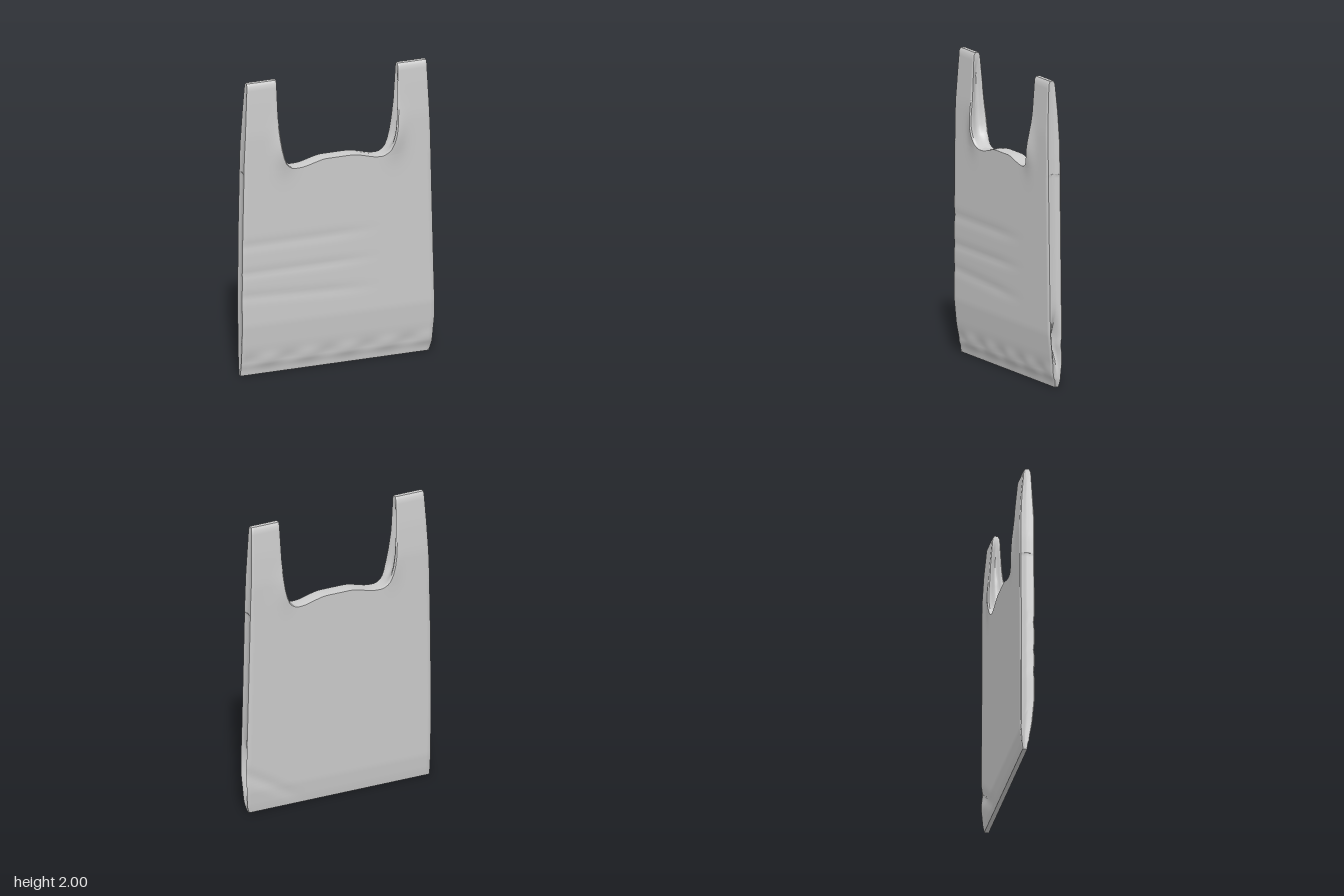
import * as THREE from 'three';
import { toCreasedNormals } from 'three/addons/utils/BufferGeometryUtils.js';

const { smoothstep, lerp } = THREE.MathUtils;
const bell = (v, centre, width) => Math.exp(-(((v - centre) / width) ** 2));

// Piecewise-linear lookup through [y, value] pairs
function profile(...points) {
  return (y) => {
    let i = 1;
    while (i < points.length - 1 && y > points[i][0]) i++;
    const [y0, v0] = points[i - 1], [y1, v1] = points[i];
    return lerp(v0, v1, Math.min(1, Math.max(0, (y - y0) / (y1 - y0))));
  };
}

// Outer edges, handle inner edges and sheet depths by height
const outerRight = profile([0, -0.663], [0.5, -0.67], [1, -0.665], [1.5, -0.655], [2, -0.63]);
const outerLeft = profile([0, 0.635], [0.04, 0.65], [0.25, 0.662], [0.6, 0.652], [1, 0.642], [1.5, 0.63], [2, 0.61]);
const innerEdge = profile([1.39, 0.29], [1.395, 0.312], [1.41, 0.337], [1.43, 0.355], [1.47, 0.373], [1.53, 0.389], [1.6, 0.4], [1.75, 0.413], [2, 0.42]);
const innerRight = (y) => -innerEdge(y) - 0.008;
const innerLeft = (y) => innerEdge(y) - 0.008;
const front = profile([0, -0.008], [0.05, 0], [0.065, 0.008], [0.2, 0.028], [0.35, 0.042], [1.65, 0.043], [1.85, 0.032], [1.98, 0.024], [2, 0.012]);
const back = profile([0, -0.038], [0.05, -0.045], [0.15, -0.054], [1.6, -0.056], [1.8, -0.045], [1.98, -0.028], [2, -0.016]);

// Puckers, wrinkles and hem folds pushed into the sheets
function sheetZ(x, y, isFront) {
  const pucker = bell(Math.abs(x), 0.38, 0.07) * bell(y, 1.53, 0.13);
  if (!isFront) {
    const fold = 0.008 * bell(y - 0.6 * x, -0.12, 0.04) * smoothstep(x, 0.2, 0.5);
    return back(y) - 0.01 * pucker + fold;
  }
  const fade = 1 - smoothstep(x, -0.1, 0.35);
  const wrinkles = bell(y, 0.9, 0.03) + bell(y, 0.71, 0.025) + bell(y + 0.05 * x, 0.52, 0.03);
  const hem = 0.006 * Math.sin(x * 23) * bell(y, 0.1, 0.04);
  return front(y) + 0.025 * pucker - 0.005 * wrinkles * fade + hem;
}

// Raised middle of the mouth
const mouthRise = (x, y) =>
  0.038 * (1 - smoothstep(Math.abs(x), 0.08, 0.28)) * smoothstep(y, 1.2, 1.39);

// One closed cross-section, running front, +x side, back, -x side
function ring(y, xMin, xMax, dents, across = 56, deep = 8) {
  const points = [];
  const r = 0.008;
  const sheet = (t, isFront) => {
    const x = lerp(xMin + r, xMax - r, t);
    points.push([x, y + mouthRise(x, y), sheetZ(x, y, isFront)]);
  };
  const side = (x, sign, fromFront, dent) => {
    const zf = sheetZ(x, y, true), zb = sheetZ(x, y, false);
    for (let i = 0; i <= deep; i++) {
      const t = lerp(0.08, 0.92, i / deep);
      const z = fromFront ? lerp(zf, zb, t) : lerp(zb, zf, t);
      const inset = dent * Math.sin(Math.PI * i / deep) ** 2;
      points.push([x - sign * inset, y + mouthRise(x, y), z]);
    }
  };
  for (let i = 0; i <= across; i++) sheet(i / across, true);
  side(xMax, 1, true, dents[1]);
  for (let i = across; i >= 0; i--) sheet(i / across, false);
  side(xMin, -1, false, dents[0]);
  return points;
}

// Collapse a ring to its middle line so that it closes an end
function closed(points, rise) {
  const z = points.reduce((sum, p) => sum + p[2], 0) / points.length;
  return points.map((p) => [p[0], p[1] + rise, z]);
}

function loft(name, rings, material) {
  const n = rings[0].length, index = [];
  for (let j = 0; j < rings.length - 1; j++) {
    for (let i = 0; i < n; i++) {
      const a = j * n + i, b = j * n + (i + 1) % n;
      index.push(a, b, b + n, a, b + n, a + n);
    }
  }
  const geometry = new THREE.BufferGeometry();
  geometry.setAttribute('position', new THREE.Float32BufferAttribute(rings.flat(2), 3));
  geometry.setIndex(index);
  const mesh = new THREE.Mesh(toCreasedNormals(geometry, 0.8), material);
  mesh.name = name;
  return mesh;
}

export function createModel() {
  const bag = new THREE.Group();
  bag.name = 'carrierBag';
  const material = new THREE.MeshStandardMaterial({ color: 0xcccccc, side: THREE.DoubleSide });

  // Body, with a side gusset and a torn pocket near the lower left corner
  const body = [];
  const heights = [0, 0.02, 0.05, 0.065];
  for (let i = 1; i <= 60; i++) heights.push(lerp(0.065, 1.39, i / 60));
  for (const y of heights) {
    const pocket = 0.07 * bell(y, 0.3, 0.13);
    body.push(ring(y, outerRight(y), outerLeft(y), [0.006, 0.005 + pocket]));
  }
  body.unshift(closed(body[0], 0));
  body.push(closed(body[body.length - 1], 0.006));
  bag.add(loft('body', body, material));

  // Handles, hollowed along their inner edges
  for (const left of [false, true]) {
    const rings = [];
    for (const y of [1.39, 1.395, 1.41, 1.43, 1.45, 1.47, 1.5, 1.53, 1.57, 1.6, 1.65, 1.7, 1.75, 1.8, 1.85, 1.9, 1.95, 1.98, 1.993, 2]) {
      const hollow = 0.025 * smoothstep(y, 1.42, 1.5) * (1 - smoothstep(y, 1.85, 1.98));
      rings.push(left
        ? ring(y, innerLeft(y), outerLeft(y), [hollow, 0.004], 20)
        : ring(y, outerRight(y), innerRight(y), [0.004, hollow], 20));
    }
    rings.push(closed(rings[rings.length - 1], 0));
    bag.add(loft(left ? 'leftHandle' : 'rightHandle', rings, material));
  }
  return bag;
}
